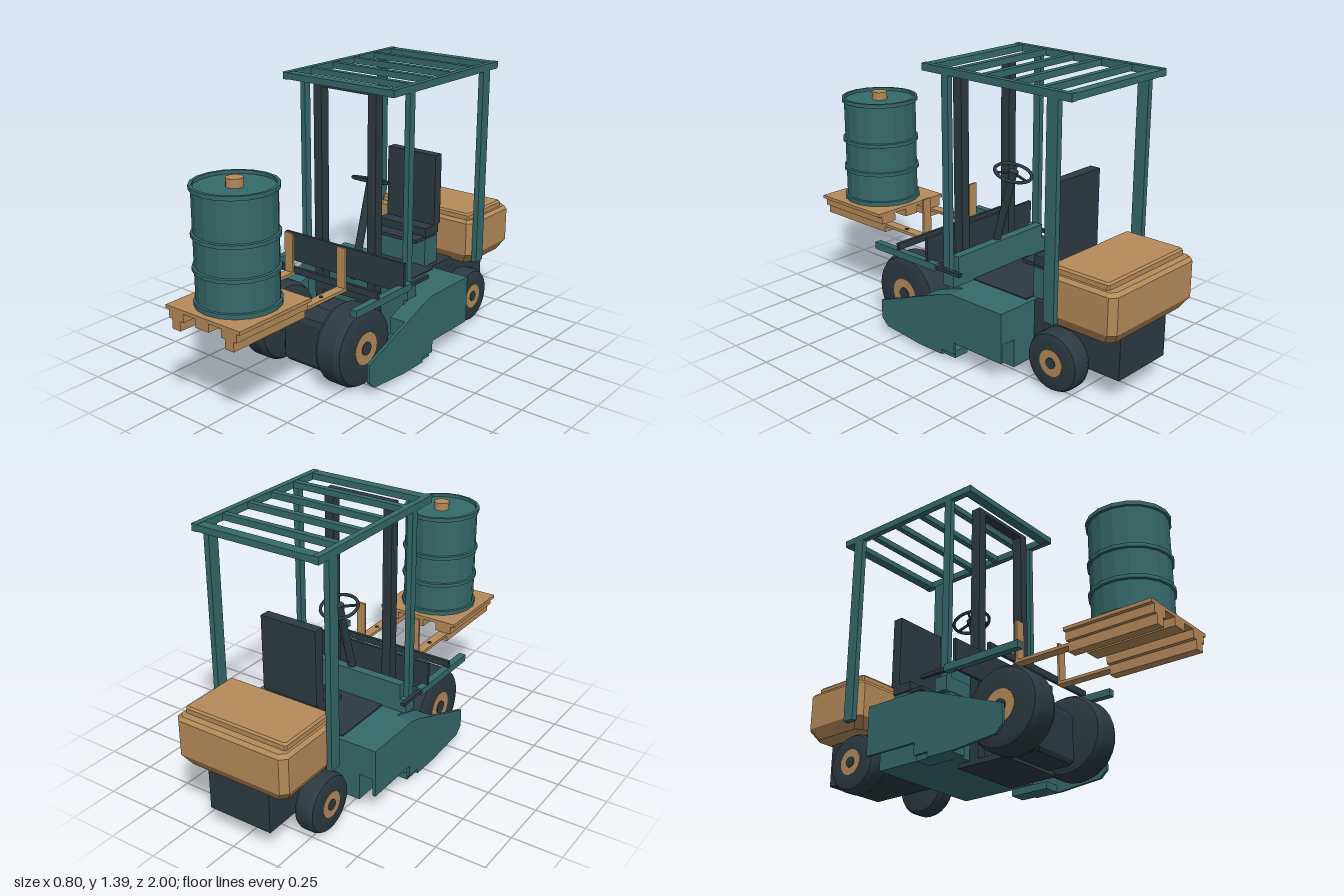
import * as THREE from 'three';
import { toCreasedNormals } from 'three/addons/utils/BufferGeometryUtils.js';

const mat = (name, color) => {
  const m = new THREE.MeshStandardMaterial({ color });
  m.name = name;
  return m;
};

export function createModel() {
  const root = new THREE.Group();
  root.name = 'forklift';
  const teal = mat('teal paint', 0x35696b);
  const dark = mat('dark rubber and steel', 0x2c3a41);
  const tan = mat('tan paint', 0xb58a5a);

  const add = (name, geo, m, parent = root) => {
    const mesh = new THREE.Mesh(geo, m);
    mesh.name = name;
    parent.add(mesh);
    return mesh;
  };
  // Box from its limits on each axis
  const box = (name, m, x0, x1, y0, y1, z0, z1) => {
    const g = new THREE.BoxGeometry(x1 - x0, y1 - y0, z1 - z0);
    return add(name, g.translate((x0 + x1) / 2, (y0 + y1) / 2, (z0 + z1) / 2), m);
  };
  // The same box on both sides
  const pair = (name, m, x0, x1, ...yz) => {
    box(name + 'Left', m, x0, x1, ...yz);
    box(name + 'Right', m, -x1, -x0, ...yz);
  };
  const lathe = (pts, sides, crease) =>
    toCreasedNormals(new THREE.LatheGeometry(pts.map(p => new THREE.Vector2(...p)), sides), crease);
  // Side outline in (z, y), thickened from x0 to x1
  const side = (name, m, pts, x0, x1) => {
    const s = new THREE.Shape(pts.map(p => new THREE.Vector2(...p)));
    const g = new THREE.ExtrudeGeometry(s, { depth: x1 - x0, bevelEnabled: false });
    return add(name, g.rotateY(-Math.PI / 2).translate(x1, 0, 0), m);
  };
  // Stack of chamfered rectangles: [y, halfWidth, zBack, zFront, chamfer]
  const loft = (name, m, rings) => {
    const v = [], idx = [], n = 8;
    for (const [y, w, b, f, c] of rings) {
      for (const [x, z] of [[w - c, f], [w, f - c], [w, b + c], [w - c, b],
        [c - w, b], [-w, b + c], [-w, f - c], [c - w, f]]) v.push(x, y, z);
    }
    for (let r = 0; r < rings.length - 1; r++) {
      for (let i = 0; i < n; i++) {
        const a = r * n + i, d = r * n + (i + 1) % n;
        idx.push(a, d, d + n, a, d + n, a + n);
      }
    }
    const t = (rings.length - 1) * n;
    for (let i = 1; i < n - 1; i++) idx.push(0, i + 1, i, t, t + i, t + i + 1);
    const g = new THREE.BufferGeometry();
    g.setAttribute('position', new THREE.Float32BufferAttribute(v, 3));
    g.setIndex(idx);
    return add(name, toCreasedNormals(g, 0.2), m);
  };

  // Overhead guard
  pair('roofRail', teal, 0.3, 0.33, 1.365, 1.4, -0.77, 0.1);
  for (const [z, w] of [[-0.745, 0.05], [-0.59, 0.03], [-0.42, 0.03], [-0.255, 0.03], [-0.085, 0.03], [0.075, 0.05]])
    box('roofSlat', teal, -0.3, 0.3, 1.367, 1.398, z - w / 2, z + w / 2);
  pair('frontPost', teal, 0.302, 0.33, 0.35, 1.366, -0.065, -0.025);
  pair('rearPost', teal, 0.302, 0.33, 0.36, 1.366, -0.7, -0.64);

  // Mast and carriage
  pair('mastUpright', dark, 0.14, 0.188, 0.03, 1.36, -0.01, 0.042);
  box('mastTopBar', dark, -0.188, 0.188, 1.342, 1.363, -0.01, 0.042);
  box('mastFoot', dark, -0.188, 0.188, 0.025, 0.05, -0.075, 0.2);
  box('mastCrossbar', dark, -0.16, 0.16, 0.31, 0.355, -0.01, 0.042);
  box('carriagePlate', dark, -0.37, 0.37, 0.425, 0.575, 0.042, 0.057);
  box('forkBar', dark, -0.37, 0.37, 0.462, 0.496, 0.242, 0.258);
  pair('liftArm', teal, 0.337, 0.372, 0.425, 0.46, -0.01, 0.415);
  pair('liftArmRod', dark, 0.345, 0.365, 0.433, 0.45, -0.16, -0.01);

  // Forks and pallet
  pair('forkUpright', tan, 0.137, 0.187, 0.455, 0.67, 0.257, 0.268);
  pair('forkBlade', tan, 0.137, 0.187, 0.455, 0.47, 0.25, 0.96);
  for (const x of [-0.162, 0.162])
    add('forkPin', new THREE.CylinderGeometry(0.01, 0.01, 0.006, 10).translate(x, 0.471, 0.41), dark);
  pair('palletSkid', tan, 0.137, 0.187, 0.425, 0.472, 0.55, 1);
  pair('palletStringer', tan, 0.115, 0.205, 0.472, 0.515, 0.55, 1);
  box('palletStringerMiddle', tan, -0.04, 0.04, 0.472, 0.515, 0.55, 1);
  box('palletDeck', tan, -0.225, 0.225, 0.513, 0.53, 0.55, 1);

  // Drum with rims, ribs and a cap
  const drum = new THREE.Group();
  drum.name = 'drum';
  drum.position.set(0, 0.53, 0.775);
  root.add(drum);
  const R = 0.188, O = 0.198;
  add('drumBody', lathe([[0, 0], [O, 0], [O, 0.022], [R, 0.024], [R, 0.158], [O, 0.161], [O, 0.179],
    [R, 0.182], [R, 0.312], [O, 0.315], [O, 0.333], [R, 0.336], [R, 0.524], [O, 0.526],
    [O, 0.546], [0.183, 0.546], [0.183, 0.53], [0, 0.53]], 18, 0.1), teal, drum);
  add('drumCap', new THREE.CylinderGeometry(0.04, 0.04, 0.04, 14).translate(0, 0.55, 0), tan, drum);

  // Wheels
  const wheel = (name, x, y, z, r, w, rim, sign) => {
    const g = new THREE.Group();
    g.name = name;
    g.position.set(sign * x, y, z);
    g.rotation.z = -sign * Math.PI / 2;
    root.add(g);
    const h = w / 2, b = r * 0.12;
    add('tyre', lathe([[0, -h], [r * 0.78, -h], [r - b * 0.6, -h + b * 0.4], [r, -h + b * 1.5], [r, h - b * 1.5],
      [r - b * 0.6, h - b * 0.4], [r * 0.78, h], [rim, h], [rim, h - 0.012], [0, h - 0.012]], 28, 0.45), dark, g);
    add('rim', new THREE.CylinderGeometry(rim, rim, 0.014, 24).translate(0, h - 0.005, 0), tan, g);
    add('hub', new THREE.CylinderGeometry(rim * 0.42, rim * 0.42, 0.008, 16).translate(0, h + 0.002, 0), dark, g);
  };
  for (const s of [-1, 1]) {
    wheel('frontWheel', 0.235, 0.205, 0.27, 0.2, 0.16, 0.08, s);
    wheel('rearWheel', 0.245, 0.153, -0.665, 0.145, 0.11, 0.064, s);
  }
  for (const [name, y, z] of [['frontAxle', 0.205, 0.27], ['rearAxle', 0.153, -0.665]])
    add(name, new THREE.CylinderGeometry(0.03, 0.03, 0.44, 14).rotateZ(Math.PI / 2).translate(0, y, z), dark);
  loft('driveHousing', dark, [[0.04, 0.13, 0.19, 0.33, 0.015], [0.06, 0.145, 0.18, 0.34, 0.015],
    [0.265, 0.145, 0.18, 0.34, 0.015], [0.29, 0.125, 0.19, 0.33, 0.015]]);
  box('driveBracket', dark, -0.1, 0.1, 0.08, 0.26, 0, 0.19);

  // Body, fenders and side skirts
  box('bodyTank', teal, -0.31, 0.31, 0.06, 0.354, -0.455, -0.03);
  box('floorPlate', dark, -0.2, 0.2, 0.354, 0.36, -0.43, -0.09);
  box('dashPanel', teal, -0.335, 0.335, 0.354, 0.425, -0.095, -0.025);
  box('dashTop', teal, -0.3, 0.3, 0.425, 0.5, -0.095, -0.05);
  const skirt = [[0.35, 0.08], [0.35, 0.175], [-0.07, 0.335], [-0.14, 0.355], [-0.455, 0.355], [-0.455, 0.11],
    [-0.155, 0.11], [-0.155, 0.05], [-0.075, 0.05], [-0.075, 0.025], [0.08, 0.025], [0.31, 0.045]];
  const fender = [[0.06, 0.2], [0.06, 0.285], [-0.07, 0.335], [-0.14, 0.355], [-0.455, 0.355], [-0.455, 0.2]];
  for (const s of [-1, 1]) {
    const at = (a, b) => s > 0 ? [a, b] : [-b, -a];
    side('sideSkirt', teal, skirt, ...at(0.383, 0.398));
    side('fender', teal, fender, ...at(0.3, 0.384));
  }
  pair('step', teal, 0.3, 0.384, 0.025, 0.06, -0.15, 0.06);

  // Rear chassis and counterweight
  box('rearChassis', dark, -0.17, 0.17, 0.115, 0.35, -0.945, -0.45);
  loft('counterweight', tan, [[0.335, 0.27, -0.965, -0.655, 0.03], [0.39, 0.305, -1, -0.62, 0.03],
    [0.565, 0.305, -1, -0.62, 0.03], [0.582, 0.29, -0.985, -0.632, 0.025]]);
  loft('counterweightLid', tan, [[0.575, 0.278, -0.95, -0.633, 0.008], [0.605, 0.278, -0.95, -0.633, 0.008],
    [0.615, 0.27, -0.942, -0.641, 0.008]]);

  // Seat
  box('seatBase', teal, -0.15, 0.15, 0.355, 0.505, -0.538, -0.43);
  box('seatCushion', dark, -0.145, 0.145, 0.502, 0.52, -0.54, -0.355);
  box('seatRest', dark, -0.15, 0.15, 0.515, 0.563, -0.545, -0.432);
  box('seatBack', dark, -0.15, 0.15, 0.56, 0.935, -0.56, -0.507);

  // Steering column and wheel
  const steering = new THREE.Group();
  steering.name = 'steering';
  steering.position.set(0, 0.86, -0.165);
  steering.rotation.x = -0.28;
  root.add(steering);
  add('steeringColumn', new THREE.CylinderGeometry(0.02, 0.02, 0.5, 14).translate(0, -0.25, 0), dark, steering);
  add('steeringRing', new THREE.TorusGeometry(0.09, 0.008, 8, 28).rotateX(Math.PI / 2), dark, steering);
  for (let i = 0; i < 3; i++)
    add('steeringSpoke', new THREE.BoxGeometry(0.012, 0.008, 0.09).translate(0, 0, 0.045)
      .rotateY(Math.PI + i * Math.PI * 2 / 3), dark, steering);
  add('steeringHub', new THREE.CylinderGeometry(0.024, 0.024, 0.022, 14), dark, steering);

  return root;
}
